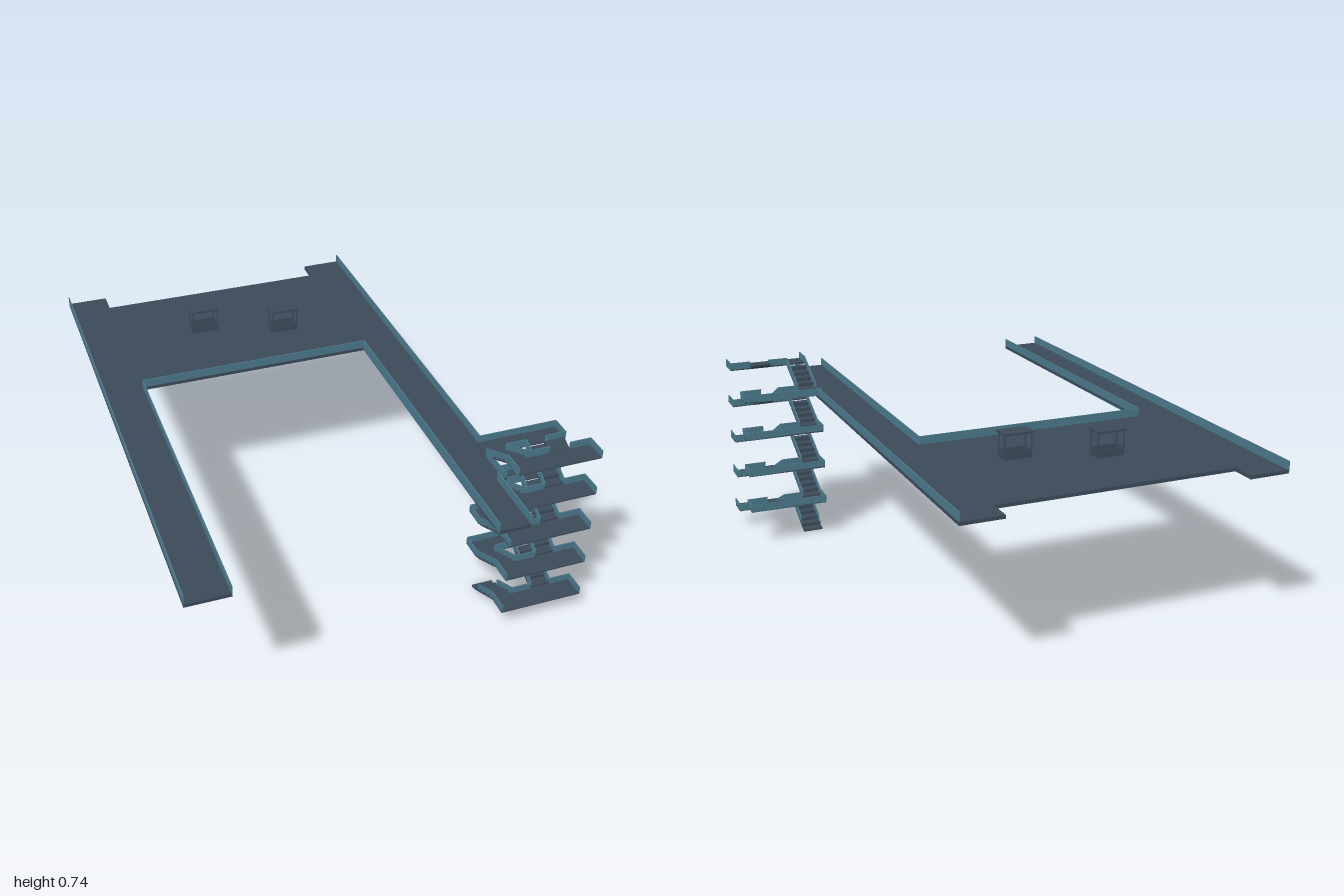
import * as THREE from 'three';

const deckMat = new THREE.MeshStandardMaterial({ color: 0x3b4a58, side: THREE.DoubleSide });
deckMat.name = 'slate deck';
const wallMat = new THREE.MeshStandardMaterial({ color: 0x4b788b, side: THREE.DoubleSide });
wallMat.name = 'teal parapet';

const T = 0.004; // parapet thickness

// Box given by its minimum and maximum corners
function box(parent, name, mat, x0, x1, y0, y1, z0, z1) {
  const mesh = new THREE.Mesh(new THREE.BoxGeometry(x1 - x0, y1 - y0, z1 - z0), mat);
  mesh.position.set((x0 + x1) / 2, (y0 + y1) / 2, (z0 + z1) / 2);
  mesh.name = name;
  parent.add(mesh);
}

// Profile of [z, y] points extruded from x0 to x1
function profile(parent, name, mat, points, x0, x1) {
  const shape = new THREE.Shape(points.map(([z, y]) => new THREE.Vector2(z, y)));
  const geo = new THREE.ExtrudeGeometry(shape, { depth: x1 - x0, bevelEnabled: false });
  const mesh = new THREE.Mesh(geo, mat);
  mesh.rotation.y = -Math.PI / 2;
  mesh.position.x = x1;
  mesh.name = name;
  parent.add(mesh);
}

// Stepped flight between two [z, y] ends with a sloping panel on each side
function flight(parent, x0, x1, za, ya, zb, yb, panelStart = 0) {
  const steps = 5, dz = (zb - za) / steps, dy = (yb - ya) / steps;
  const pts = [[za, ya]];
  for (let i = 0; i < steps; i++) {
    pts.push([za + i * dz, ya + (i + 0.5) * dy], [za + (i + 1) * dz, ya + (i + 0.5) * dy]);
  }
  pts.push([zb, yb - 0.007], [za + dz * 0.3, ya - 0.003 + dy * 0.2]);
  profile(parent, 'flightSteps', deckMat, pts, x0, x1);
  const zs = za + (zb - za) * panelStart, ys = ya + (yb - ya) * panelStart;
  const panel = [[zs, ys], [zb, yb - 0.004], [zb, yb + 0.028], [zs, ys + 0.028]];
  profile(parent, 'flightPanel', wallMat, panel, x0, x0 + T);
  profile(parent, 'flightPanel', wallMat, panel, x1 - T, x1);
}

function buildDeck() {
  const g = new THREE.Group();
  g.name = 'raisedDeck';
  const y0 = 0.615, y1 = 0.628, top = 0.66;
  box(g, 'platform', deckMat, -0.612, 0.302, y0, y1, -0.91, -0.245);
  box(g, 'leftWalkway', deckMat, -0.77, -0.612, y0, y1, -1, 1);
  box(g, 'rightWalkway', deckMat, 0.302, 0.46, y0, y1, -1, 0.74);
  box(g, 'rightWalkwayEnd', deckMat, 0.302, 0.425, y0, y1, 0.74, 1);
  // Parapets around the outside and the open court
  box(g, 'leftOuterParapet', wallMat, -0.77, -0.77 + T, y0, top, -1, 1);
  box(g, 'leftInnerParapet', wallMat, -0.612 - T, -0.612, y0, top, -0.245, 1);
  box(g, 'courtParapet', wallMat, -0.612, 0.302, y1, top, -0.245 - T, -0.245);
  box(g, 'rightInnerParapet', wallMat, 0.302, 0.302 + T, y0, top, -0.245, 1);
  box(g, 'rightOuterParapet', wallMat, 0.46 - T, 0.46, y0, top, -1, 0.52);
  box(g, 'rightSideParapet', wallMat, 0.445, 0.445 + T, y1, top, 0.6, 0.74);
  box(g, 'jogParapet', wallMat, 0.425, 0.46, y1, top, 0.74 - T, 0.74);
  box(g, 'rightEndParapet', wallMat, 0.425 - T, 0.425, y0, top, 0.74, 1);
  return g;
}

function buildKiosk(x, z) {
  const g = new THREE.Group();
  g.name = 'kiosk';
  const base = 0.628, hx = 0.052, hz = 0.026;
  // Counter: front, back and side panels around an open middle
  for (const s of [-1, 1]) {
    box(g, 'counterLong', deckMat, -hx, hx, base, 0.657, s * hz - 0.002, s * hz + 0.002);
    box(g, 'counterShort', deckMat, s * hx - 0.002, s * hx + 0.002, base, 0.657, -hz, hz);
    for (const t of [-1, 1]) {
      box(g, 'post', deckMat, s * hx - 0.002, s * hx + 0.002, base, 0.72, t * hz - 0.002, t * hz + 0.002);
    }
  }
  box(g, 'roof', deckMat, -0.058, 0.058, 0.719, 0.727, -0.033, 0.033);
  g.position.set(x, 0, z);
  return g;
}

function buildStairs() {
  const g = new THREE.Group();
  g.name = 'stairTower';
  const rise = 0.079, zBack = 0.597, zFront = 0.755;
  const A = [0.445, 0.527], B = [0.605, 0.685], end = 0.768;
  for (let i = 0; i < 9; i++) {
    const y = i * rise, yTop = y + rise;
    const toFront = i % 2 === 0;
    // Flights alternate between the two lanes
    if (toFront) flight(g, A[0], A[1], zBack, y, zFront, yTop, i === 0 ? 0.3 : 0);
    else flight(g, B[0], B[1], zFront, y, zBack, yTop);

    // Landing at the top of the flight
    const z0 = toFront ? zFront : 0.518, z1 = toFront ? 0.84 : zBack;
    const atDeck = i === 7;
    const yl = yTop - 0.004, yw = yTop + 0.028;
    box(g, 'landing', deckMat, A[0], end, yl, yTop + 0.001, z0, z1);
    box(g, 'landingEndWall', wallMat, end - T, end, yl, yw, z0, z1);
    if (!atDeck) box(g, 'landingSideWall', wallMat, A[0], A[0] + T, yl, yw, z0, z1);
    // Inner walls leave gaps for both lanes
    const zi = toFront ? z0 : z1 - T;
    box(g, 'landingInnerWall', wallMat, A[1], B[0], yl, yw, zi, zi + T);
    box(g, 'landingInnerWall', wallMat, B[1], end, yl, yw, zi, zi + T);
    if (!toFront) box(g, 'landingOuterWall', wallMat, A[0], end, yl, yw, z0, z0 + T);
  }
  // Short start of a further flight above the top landing
  const y = 9 * rise;
  profile(g, 'flightStub', deckMat,
    [[zFront, y - 0.004], [zFront, y + 0.003], [0.715, y + 0.022], [0.715, y + 0.015]], B[0], B[1]);
  return g;
}

export function createModel() {
  const model = new THREE.Group();
  model.name = 'elevatedWalkway';
  model.add(buildDeck(), buildKiosk(-0.273, -0.61), buildKiosk(0.04, -0.505), buildStairs());
  return model;
}
